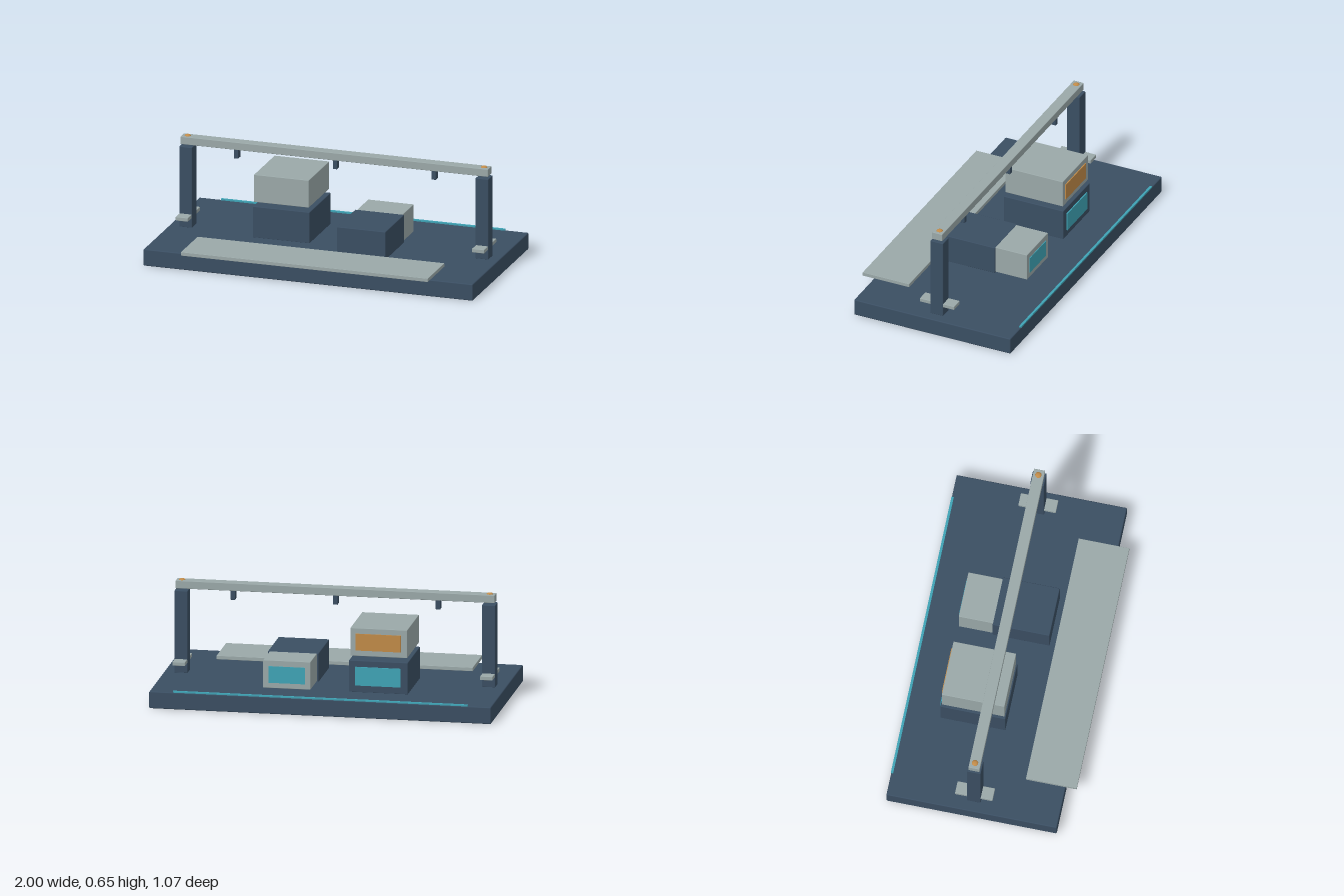
import * as THREE from 'three';
import { RoundedBoxGeometry } from 'three/addons/geometries/RoundedBoxGeometry.js';

const material = (name, color) => {
  const m = new THREE.MeshStandardMaterial({ color });
  m.name = name;
  return m;
};

export function createModel() {
  const navy = material('navy', 0x3a4e62);
  const grey = material('grey', 0x9aa8a8);
  const teal = material('teal', 0x3fa3b5);
  const amber = material('amber', 0xc08a48);
  const model = new THREE.Group();
  model.name = 'gantryWorkbench';

  // Box given by its limits on each axis, with an optional rounded edge
  function box(name, mat, [x0, x1], [y0, y1], [z0, z1], radius = 0) {
    const size = [x1 - x0, y1 - y0, z1 - z0];
    const geometry = radius
      ? new RoundedBoxGeometry(...size, 2, radius)
      : new THREE.BoxGeometry(...size);
    const mesh = new THREE.Mesh(geometry, mat);
    mesh.name = name;
    mesh.position.set((x0 + x1) / 2, (y0 + y1) / 2, (z0 + z1) / 2);
    model.add(mesh);
    return mesh;
  }

  // Base slab, front shelf and rear light strip
  box('base', navy, [-1, 1], [0, 0.1], [-0.532, 0.468], 0.006);
  box('frontShelf', grey, [-0.75, 0.75], [0.108, 0.13], [0.236, 0.534], 0.002);
  box('rearLightStrip', teal, [-0.865, 0.86], [0.1, 0.109], [-0.534, -0.52]);

  // Gantry: posts with cross clamps and bolt heads
  for (const side of [-1, 1]) {
    const x = side * 0.9;
    box('post', navy, [x - 0.039, x + 0.039], [0.098, 0.586], [-0.072, 0.009], 0.004);
    box('postClamp', grey, [x - 0.037, x + 0.037], [0.157, 0.18], [-0.142, 0.078], 0.003);
    const bolt = new THREE.Mesh(new THREE.SphereGeometry(0.019, 20, 12), amber);
    bolt.name = 'boltHead';
    bolt.position.set(x, 0.641, -0.032);
    bolt.scale.y = 0.55;
    model.add(bolt);
  }

  // Gantry: beam and hangers
  box('beam', grey, [-0.934, 0.934], [0.597, 0.643], [-0.064, 0.001], 0.003);
  for (const x of [-0.6, 0, 0.6]) {
    box('hanger', navy, [x - 0.013, x + 0.013], [0.541, 0.599], [-0.052, -0.011], 0.002);
  }

  // Tall stacked unit with rear panels
  box('stackLower', navy, [-0.475, -0.13], [0.098, 0.287], [-0.323, 0.058], 0.004);
  box('stackUpper', grey, [-0.47, -0.137], [0.312, 0.478], [-0.316, 0.052], 0.003);
  box('stackLowerPanel', teal, [-0.433, -0.168], [0.14, 0.25], [-0.33, -0.322]);
  box('stackUpperPanel', amber, [-0.433, -0.168], [0.346, 0.445], [-0.322, -0.314]);

  // Low unit with grey rear half and panel
  box('lowUnitFront', navy, [0.083, 0.38], [0.098, 0.268], [-0.132, 0.202], 0.004);
  box('lowUnitRear', grey, [0.093, 0.37], [0.102, 0.267], [-0.333, -0.13], 0.003);
  box('lowUnitPanel', teal, [0.125, 0.338], [0.134, 0.232], [-0.337, -0.331]);

  return model;
}
